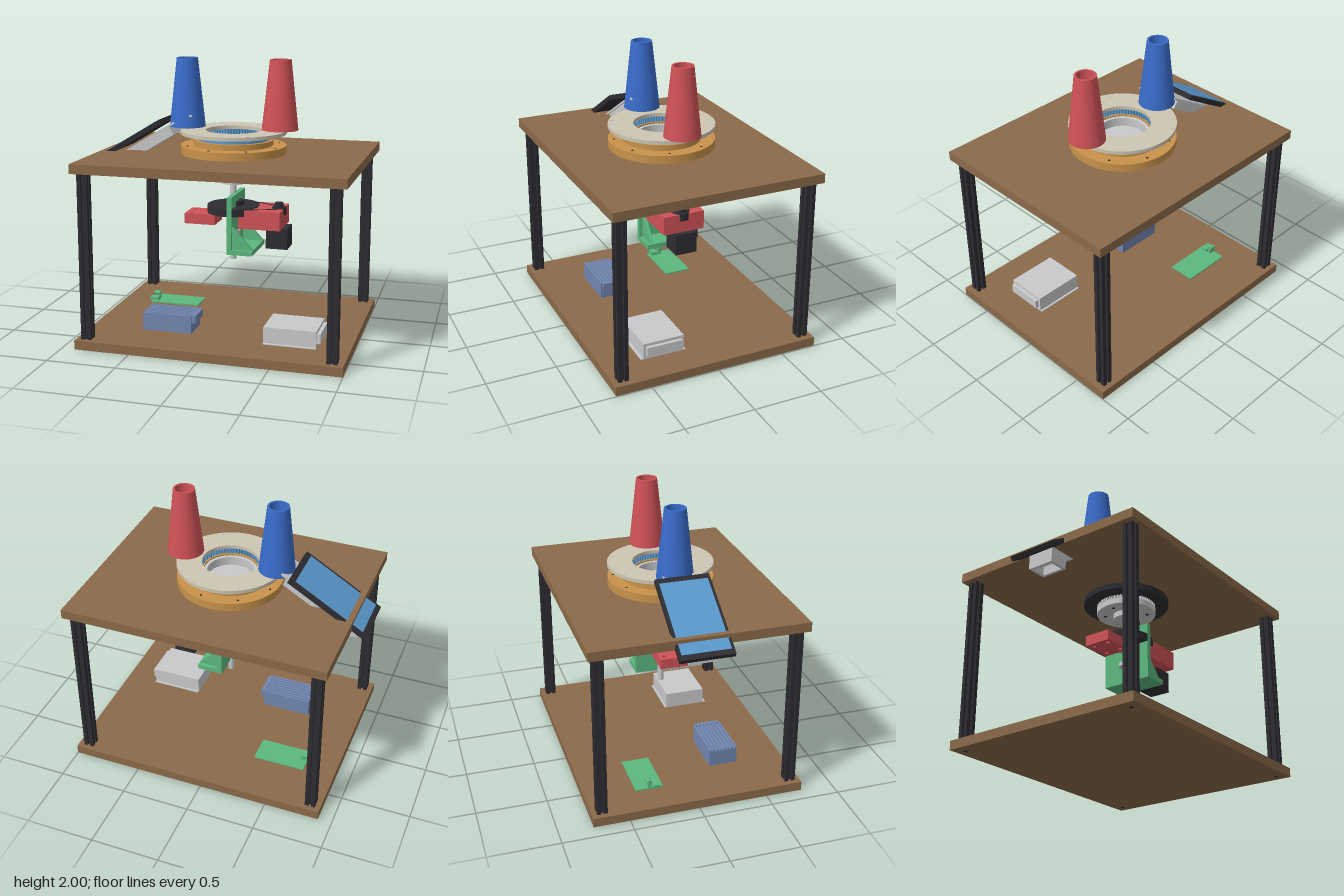
import * as THREE from 'three';
import { toCreasedNormals } from 'three/addons/utils/BufferGeometryUtils.js';

const mat = (name, color) => {
  const m = new THREE.MeshStandardMaterial({ color });
  m.name = name;
  return m;
};

export function createModel() {
  const root = new THREE.Group();
  root.name = 'turntableRig';
  const wood = mat('wood brown', 0x8b6a4a), black = mat('black', 0x2d2d32), grey = mat('light grey', 0xc8c9cb);
  const cream = mat('cream', 0xcdc6b4), orange = mat('orange', 0xc8924a), sky = mat('sky blue', 0x5b98cc);
  const blue = mat('blue', 0x3a6ccb), red = mat('red', 0xd05258), green = mat('green', 0x5cb87f);
  const slate = mat('slate blue', 0x7186b0);

  const add = (name, geo, m, parent = root) => {
    const mesh = new THREE.Mesh(geo, m);
    mesh.name = name;
    parent.add(mesh);
    return mesh;
  };
  // box given by its extents on each axis
  const box = (name, m, x0, x1, y0, y1, z0, z1, parent = root) => {
    const mesh = add(name, new THREE.BoxGeometry(x1 - x0, y1 - y0, z1 - z0), m, parent);
    mesh.position.set((x0 + x1) / 2, (y0 + y1) / 2, (z0 + z1) / 2);
    return mesh;
  };
  const disc = (name, m, x, z, r, y0, y1, parent = root, sides = 48) => {
    const mesh = add(name, new THREE.CylinderGeometry(r, r, y1 - y0, sides), m, parent);
    mesh.position.set(x, (y0 + y1) / 2, z);
    return mesh;
  };
  // turned part from a counter-clockwise (radius, height) profile
  const turned = (name, m, x, profile, parent = root) => {
    const pts = profile.map(([r, y]) => new THREE.Vector2(r, y));
    const mesh = add(name, toCreasedNormals(new THREE.LatheGeometry(pts, 64), 0.5), m, parent);
    mesh.position.x = x;
    return mesh;
  };
  const ring = (name, m, x, ri, ro, y0, y1, parent) =>
    turned(name, m, x, [[ri, y0], [ro, y0], [ro, y1], [ri, y1], [ri, y0]], parent);
  const slab = (name, m, shape, y0, y1, x, z, parent = root) => {
    const geo = new THREE.ExtrudeGeometry(shape, { depth: y1 - y0, bevelEnabled: false, curveSegments: 24 });
    geo.rotateX(-Math.PI / 2);
    const mesh = add(name, geo, m, parent);
    mesh.position.set(x, y0, z);
    return mesh;
  };
  const polygon = pts => new THREE.Shape(pts.map(([x, y]) => new THREE.Vector2(x, y)));
  const toothed = (n, r0, r1) => {
    const pts = [];
    for (let i = 0; i < n * 4; i++) {
      const a = ((i + 0.5) / (n * 4)) * Math.PI * 2, r = i % 4 < 2 ? r1 : r0;
      pts.push([Math.cos(a) * r, Math.sin(a) * r]);
    }
    return pts;
  };

  // Boards
  box('baseBoard', wood, -0.9, 1, 0.004, 0.07, -0.76, 0.76);
  box('topBoard', wood, -0.9, 1, 1.26, 1.327, -0.76, 0.76);

  // Slotted corner posts with foot bolts
  const h = 0.037, s = 0.009, d = 0.018;
  const side = [[-h, -h], [-s, -h], [-s, -d], [s, -d], [s, -h]];
  const outline = [];
  for (let k = 0; k < 4; k++) {
    const c = Math.round(Math.cos(k * Math.PI / 2)), n = Math.round(Math.sin(k * Math.PI / 2));
    side.forEach(([x, y]) => outline.push([x * c - y * n, x * n + y * c]));
  }
  for (const x of [-0.825, 0.92]) for (const z of [-0.687, 0.687]) {
    slab('cornerPost', black, polygon(outline), 0.07, 1.26, x, z);
    disc('footBolt', black, x, z, 0.014, 0, 0.006, root, 16);
  }

  // Turntable above the top board
  const cx = 0.05;
  const table = new THREE.Group();
  table.name = 'turntable';
  root.add(table);
  ring('lowerBearingRing', orange, cx, 0.19, 0.38, 1.327, 1.385, table);
  ring('upperBearingRing', orange, cx, 0.19, 0.285, 1.385, 1.425, table);
  const gear = new THREE.Shape().absarc(0, 0, 0.255, 0, Math.PI * 2);
  gear.holes.push(polygon(toothed(60, 0.2, 0.212)));
  slab('innerGearRing', sky, gear, 1.425, 1.466, cx, 0, table);
  ring('topRing', cream, cx, 0.2, 0.38, 1.466, 1.492, table);
  turned('hubCup', grey, cx, [[0, 1.328], [0.199, 1.328], [0.199, 1.415], [0.166, 1.415], [0.166, 1.35], [0, 1.35]], table);
  for (let i = 0; i < 8; i++) {
    const a = Math.PI / 3 + i * Math.PI / 4 - Math.PI / 8 + 0.4;
    disc('baseRingBolt', black, cx + Math.cos(a) * 0.34, Math.sin(a) * 0.34, 0.008, 1.38, 1.388, table, 12);
  }
  for (const x of [-0.13, 0.23]) for (const z of [-0.31, 0.31])
    disc('topRingBolt', grey, x, z, 0.01, 1.488, 1.495, table, 12);

  // Cones standing on the ring, hollow with a grey plug
  for (const [name, m, x] of [['blueCone', blue, -0.295], ['redCone', red, 0.39]]) {
    turned(name, m, x, [[0.054, 1.505], [0.13, 1.505], [0.076, 2], [0.062, 2], [0.054, 1.505]]);
    disc(name + 'Plug', grey, x, 0, 0.056, 1.492, 1.52);
  }
  const sensor = add('coneSensor', new THREE.SphereGeometry(0.012, 12, 8), grey);
  sensor.position.set(-0.24, 1.59, 0.105);

  // Hub hanging below the top board
  ring('lowerFlange', black, cx, 0.1, 0.312, 1.217, 1.262);
  slab('timingGear', grey, polygon(toothed(60, 0.2, 0.215)), 1.19, 1.218, cx, 0);
  disc('hubPlate', grey, cx, 0, 0.215, 1.147, 1.19);
  disc('hubBoss', grey, cx, 0, 0.095, 1.106, 1.147);
  for (let i = 0; i < 6; i++) {
    const a = i * Math.PI / 3;
    disc('hubBolt', black, cx + Math.cos(a) * 0.155, Math.sin(a) * 0.155, 0.012, 1.143, 1.15, root, 12);
  }
  disc('shaft', grey, 0.047, 0, 0.023, 0.535, 1.11, root, 32);
  disc('lowerCollar', grey, 0.047, 0, 0.052, 0.73, 0.757);
  disc('upperCollar', grey, 0.047, 0, 0.052, 0.85, 0.877);

  // Green shaft bracket with two gussets
  const bracket = new THREE.Group();
  bracket.name = 'shaftBracket';
  root.add(bracket);
  box('bracketPlate', green, 0.05, 0.085, 0.612, 1.03, -0.19, 0.19, bracket);
  box('bracketFoot', green, 0.085, 0.237, 0.612, 0.647, -0.19, 0.19, bracket);
  for (const z of [-0.165, 0.14]) {
    const geo = new THREE.ExtrudeGeometry(polygon([[0.085, 0.647], [0.237, 0.647], [0.085, 0.815]]),
      { depth: 0.025, bevelEnabled: false });
    add('bracketGusset', geo, green, bracket).position.z = z;
  }

  // Belt drive
  const drive = new THREE.Group();
  drive.name = 'beltDrive';
  root.add(drive);
  disc('largePulley', black, cx, 0, 0.19, 0.89, 0.945, drive);
  disc('largePulleyHub', black, cx, 0, 0.075, 0.945, 0.977, drive);
  disc('smallPulley', black, 0.39, 0, 0.052, 0.89, 0.945, drive);
  disc('smallPulleyHub', black, 0.39, 0, 0.032, 0.945, 0.977, drive, 24);
  for (const m of [-1, 1]) {
    const belt = box('beltRun', black, -0.175, 0.175, 0.9, 0.94, -0.006, 0.006, drive);
    belt.position.set(0.245, 0.92, m * 0.115);
    belt.rotation.y = m * 0.39;
  }

  // Red motor mounts and the motor
  box('motorMount', red, 0.17, 0.43, 0.802, 0.937, -0.155, 0.155);
  box('motorMountLip', red, 0.125, 0.17, 0.802, 0.89, -0.155, 0.155);
  box('motor', black, 0.312, 0.47, 0.65, 0.802, -0.08, 0.08);
  const plate = polygon([[-0.115, -0.1], [0.115, -0.1], [0.115, 0.1], [-0.115, 0.1]]);
  for (const x of [-0.07, 0.07]) for (const y of [-0.06, 0.06])
    plate.holes.push(new THREE.Path().absarc(x, y, 0.016, 0, Math.PI * 2));
  slab('sensorMount', red, plate, 0.802, 0.877, -0.18, 0);

  // Tilted display with its arm
  const display = new THREE.Group();
  display.name = 'display';
  display.position.set(-0.72, 1.388, 0);
  display.rotation.z = 0.541;
  root.add(display);
  box('displayCase', black, -0.325, 0.325, -0.018, 0.017, -0.19, 0.19, display);
  box('displayScreen', sky, -0.285, 0.285, 0.017, 0.02, -0.17, 0.17, display);
  box('displayArm', grey, -0.15, 0.332, -0.125, -0.045, -0.1, 0.1, display);
  box('displayArmTopPlate', grey, -0.12, 0.385, -0.06, -0.045, -0.11, 0.11, display);
  for (const z of [-0.102, 0.1]) box('displayArmSidePlate', grey, 0.12, 0.32, -0.1, -0.062, z, z + 0.002, display);
  const socket = polygon([[-0.073, -0.1], [0.073, -0.1], [0.073, 0.1], [-0.073, 0.1]]);
  socket.holes.push(polygon([[-0.053, -0.08], [-0.053, 0.08], [0.053, 0.08], [0.053, -0.08]]));
  slab('displaySocket', grey, socket, 1.147, 1.262, -0.842, 0);

  // Finned slate-blue driver
  box('driverBody', slate, -0.515, -0.15, 0.07, 0.185, 0.2, 0.41);
  for (let i = 0; i < 8; i++)
    box('driverFin', slate, -0.515, -0.15, 0.185, 0.2, 0.2 + i * 0.0279, 0.215 + i * 0.0279);
  box('driverConnector', slate, -0.15, -0.122, 0.147, 0.2, 0.21, 0.4);

  // Grey power supply
  box('supplyBase', grey, 0.39, 0.765, 0.07, 0.076, 0.14, 0.48);
  box('supplyBody', grey, 0.39, 0.765, 0.076, 0.19, 0.155, 0.46);
  box('supplyTerminals', grey, 0.765, 0.79, 0.1, 0.168, 0.175, 0.443);

  // Green control board
  box('controlBoard', green, -0.67, -0.29, 0.07, 0.08, -0.4, -0.2);
  box('boardSocket', green, -0.69, -0.62, 0.08, 0.106, -0.272, -0.225);
  box('boardJackBase', green, -0.67, -0.625, 0.08, 0.112, -0.305, -0.285);
  const jack = disc('boardJack', green, 0, 0, 0.017, 0, 0.047, root, 24);
  jack.rotation.z = Math.PI / 2;
  jack.position.set(-0.648, 0.122, -0.297);

  return root;
}
